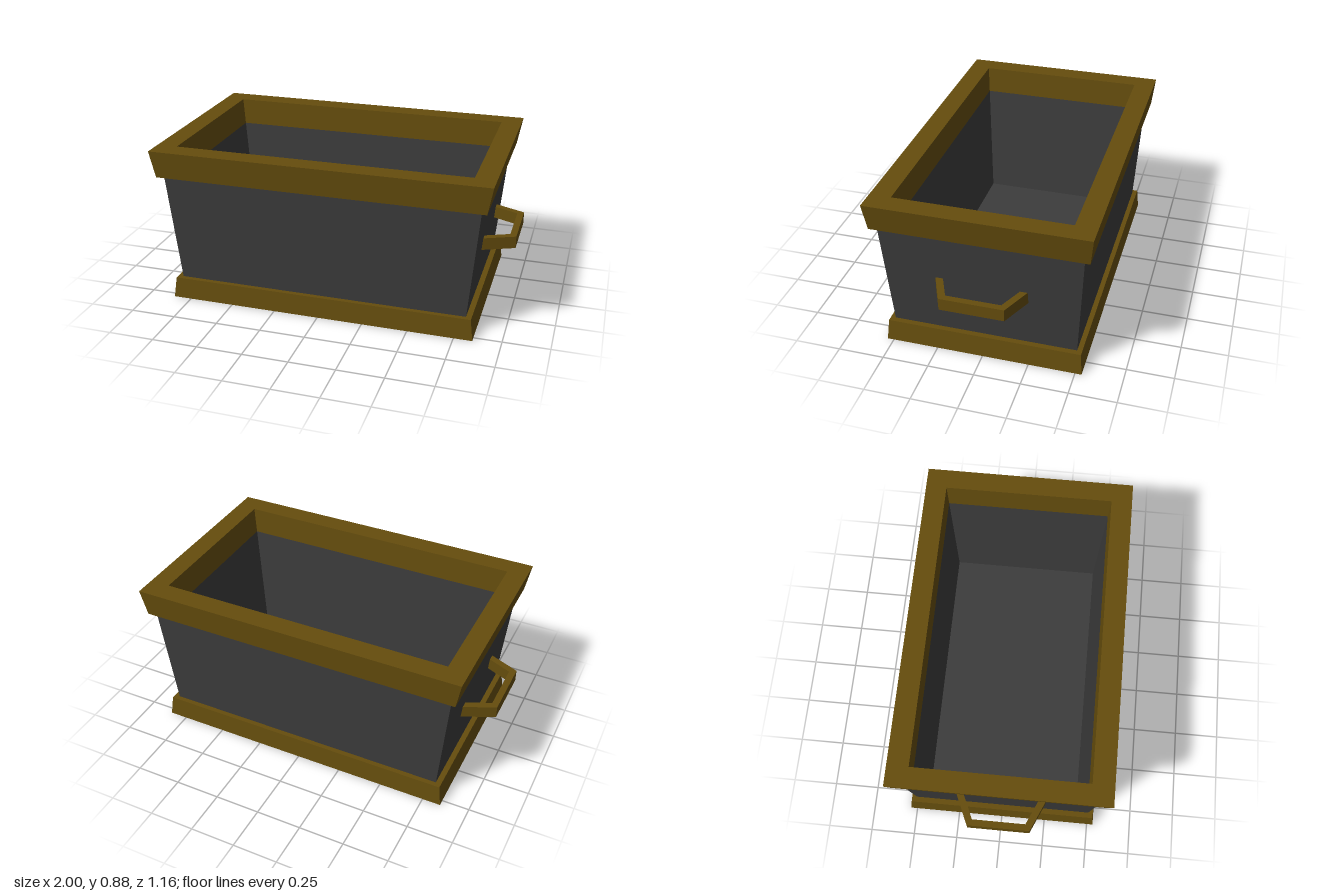
import * as THREE from 'three';

const wood = new THREE.MeshStandardMaterial({ color: 0x654d0d, flatShading: true });
const panel = new THREE.MeshStandardMaterial({ color: 0x3c3c3c, flatShading: true });

// Sweeps a profile of [halfWidth, y, halfDepth] around a rectangle with mitred corners.
function rectLoft(profile, name, material) {
  const signs = [[1, 1], [1, -1], [-1, -1], [-1, 1]];
  const pos = [];
  const corner = ([hx, y, hz], j) => [hx * signs[j % 4][0], y, hz * signs[j % 4][1]];
  for (let i = 0; i < profile.length - 1; i++) {
    const lo = profile[i], hi = profile[i + 1];
    for (let j = 0; j < 4; j++) {
      const a = corner(lo, j), b = corner(lo, j + 1), c = corner(hi, j + 1), d = corner(hi, j);
      if (lo[0] > 0) pos.push(...a, ...b, ...c);
      if (hi[0] > 0) pos.push(...a, ...c, ...d);
    }
  }
  const geo = new THREE.BufferGeometry();
  geo.setAttribute('position', new THREE.Float32BufferAttribute(pos, 3));
  geo.computeVertexNormals();
  const mesh = new THREE.Mesh(geo, material);
  mesh.name = name;
  return mesh;
}

// Bent bracket handle, drawn in plan (x, z) and extruded upward.
function makeHandle(side) {
  const outline = [
    [0.82, 0.25], [1, 0.17], [1, -0.17], [0.82, -0.25],
    [0.82, -0.21], [0.965, -0.145], [0.965, 0.145], [0.82, 0.21],
  ].map(([x, z]) => new THREE.Vector2(x, z));
  const geo = new THREE.ExtrudeGeometry(new THREE.Shape(outline), { depth: 0.067, bevelEnabled: false });
  geo.rotateX(-Math.PI / 2);
  geo.translate(0, 0.39, 0);
  if (side < 0) geo.rotateY(Math.PI);
  const mesh = new THREE.Mesh(geo, wood);
  mesh.name = side > 0 ? 'leftHandle' : 'rightHandle';
  return mesh;
}

export function createModel() {
  const group = new THREE.Group();
  group.name = 'planterBox';

  // Tapered hollow box: underside, outer walls, inner walls, floor
  group.add(rectLoft([
    [0, 0.04, 0], [0.798, 0.04, 0.494], [0.86, 0.73, 0.532],
    [0.791, 0.73, 0.458], [0.73, 0.08, 0.427], [0, 0.08, 0],
  ], 'body', panel));

  // Flared frame around the opening
  group.add(rectLoft([
    [0.791, 0.73, 0.458], [0.89, 0.73, 0.564], [0.917, 0.88, 0.58],
    [0.805, 0.88, 0.465], [0.791, 0.73, 0.458],
  ], 'topRim', wood));

  // Skirting frame around the foot
  group.add(rectLoft([
    [0.8, 0, 0.49], [0.85, 0, 0.535], [0.835, 0.117, 0.525],
    [0.79, 0.117, 0.485], [0.8, 0, 0.49],
  ], 'baseRim', wood));

  for (const side of [1, -1]) group.add(makeHandle(side));
  return group;
}
